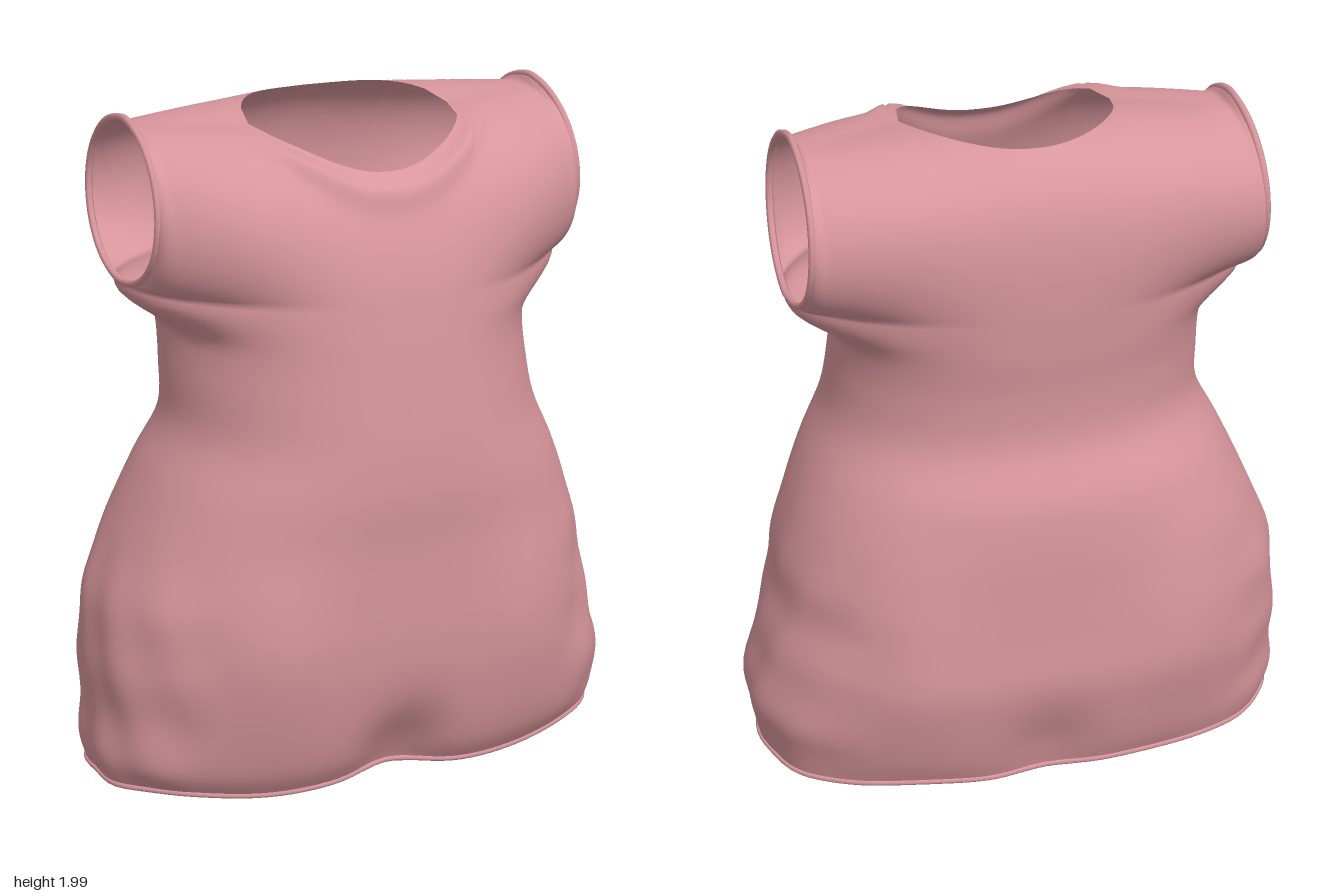
import * as THREE from 'three';
import { mergeGeometries, mergeVertices } from 'three/addons/utils/BufferGeometryUtils.js';

const COLS = 88, TORSO_ROWS = 54, YOKE_ROWS = 36;
const lerp = THREE.MathUtils.lerp, smooth = THREE.MathUtils.smoothstep;
const bell = (d, width) => Math.exp(-((d / width) ** 2));

// Torso rings from hem to armpit: y, left width, right width, front z, back z, side z
const RINGS = [
  [0.03, 0.79, 0.81, 0.385, -0.42, -0.01],
  [0.10, 0.81, 0.825, 0.43, -0.45, 0],
  [0.20, 0.82, 0.82, 0.46, -0.475, 0],
  [0.35, 0.79, 0.82, 0.485, -0.50, 0],
  [0.50, 0.745, 0.815, 0.50, -0.495, 0],
  [0.65, 0.72, 0.775, 0.505, -0.49, 0],
  [0.80, 0.68, 0.71, 0.51, -0.485, 0],
  [0.95, 0.625, 0.64, 0.52, -0.465, 0.01],
  [1.10, 0.56, 0.565, 0.515, -0.405, 0.01],
  [1.25, 0.535, 0.555, 0.50, -0.40, -0.01],
  [1.38, 0.53, 0.55, 0.485, -0.415, -0.04],
  [1.45, 0.545, 0.55, 0.475, -0.42, -0.055],
  [1.52, 0.545, 0.545, 0.465, -0.425, -0.065],
];

// Smooth interpolation between the torso rings
function ringAt(t) {
  const f = t * (RINGS.length - 1), i = Math.min(Math.floor(f), RINGS.length - 2), u = f - i;
  const at = (k) => RINGS[THREE.MathUtils.clamp(k, 0, RINGS.length - 1)];
  return RINGS[0].map((_, n) => {
    const [a, b, c, d] = [at(i - 1)[n], at(i)[n], at(i + 1)[n], at(i + 2)[n]];
    return b + 0.5 * u * (c - a + u * (2 * a - 5 * b + 4 * c - d + u * (3 * (b - c) + d - a)));
  });
}

const across = (j) => {
  const c = Math.cos((j / COLS) * Math.PI);
  return Math.sign(c) * Math.abs(c) ** 0.85;
};

function torsoPoint(j, t, side) {
  const [y, left, right, front, back, mid] = ringAt(t);
  const s = across(j);
  // boxy at the hips, rounder at the waist, fuller again at the chest
  const power = lerp(0.82, 0.98, smooth(y, 0.6, 1.2)) - 0.16 * smooth(y, 1.3, 1.52);
  const depth = j % COLS === 0 ? 0 : Math.sin((j / COLS) * Math.PI) ** power;
  // sleeve stubs spread out above the armpits
  let x = s * (s > 0 ? left : right) + 0.125 * smooth(y, 1.37, 1.5) * s ** 7;
  let z = mid + ((side > 0 ? front : back) - mid) * depth;
  // cleft between the legs, deeper in front
  z *= 1 - (side > 0 ? 0.2 : 0.1) * bell(y - 0.08, 0.16) * bell(x, 0.13);
  // soft thigh swell and cloth wrinkles toward the hips
  z += side * depth * 0.035 * bell(Math.abs(x) - 0.43, 0.18) * bell(y - 0.48, 0.3);
  const rough = (1 - smooth(y, 0.5, 0.9)) * smooth(Math.abs(s), 0.6, 0.9);
  const wrinkle = 0.007 * rough * Math.sin(y * 19 + z * 14 + s * 2) * Math.cos(z * 17 - y * 8);
  x += Math.sign(s) * wrinkle;
  z += side * wrinkle * depth;
  // uneven hem, lower behind
  const hem = 1 - smooth(y, 0, 0.15);
  const dy = hem * (0.008 * Math.sin(x * 9 + z * 5) - (side < 0 ? 0.014 * depth : 0));
  return new THREE.Vector3(x, y + dy, z);
}

// Each yoke column rises from the torso to the shoulder line, cut short by the neck hole
const HALF = 0.655, NECK = HALF * across(32), NECK_Z = 0.06;
function yokePoint(j, t, side) {
  const start = torsoPoint(j, 1, side), x = HALF * across(j), ax = Math.abs(x);
  const front = side > 0, a = ax / HALF, w = a ** 1.5, wLow = a ** 4;
  const neckDepth = front ? 0.26 : 0.34, rimZ = front ? 0.29 : -0.43;
  const endZ = lerp(NECK_Z, -0.065, smooth(ax, 0.2, HALF));
  const full = front ? 0.05 * Math.sin(Math.PI * a * a) : 0;
  const curve = new THREE.CubicBezierCurve3(
    start,
    new THREE.Vector3(lerp(start.x, x, 0.6), lerp(1.72, 1.52, wLow),
      lerp(front ? 0.43 : -0.43, rimZ, w) + full),
    new THREE.Vector3(x, lerp(front ? 1.97 : 2.12, 1.96, w),
      lerp(front ? 0.33 : -0.46, rimZ, w) + full),
    new THREE.Vector3(x, 1.96, endZ));

  // find where the column meets the neck edge
  let cut = 1;
  if (ax < NECK - 1e-6) {
    const edge = side * NECK_Z + neckDepth * Math.sqrt(1 - (x / NECK) ** 2);
    let lo = 0.2;
    for (let i = 0; i < 24; i++) {
      const m = (lo + cut) / 2;
      if (curve.getPoint(m).z * side > edge) lo = m; else cut = m;
    }
  }
  const p = curve.getPoint(t * cut);

  // soft collar ridge around the front of the neck
  const ring = Math.hypot(p.x / NECK, (p.z - NECK_Z) / neckDepth);
  const ridge = 0.016 * bell(ring - 1.17, 0.09) * smooth(t, 0, 0.4) * smooth(p.z, 0.08, 0.28);
  p.y += ridge;
  p.z += ridge;

  // flared armhole lip
  const out = smooth(ax, 0.61, HALF);
  p.y += 0.025 * out * t ** 3;
  p.z += (p.z + 0.065) * 0.04 * out * Math.sin(Math.PI * t);
  p.x -= Math.sign(x) * 0.015 * out * t;
  return p;
}

// Front or back half of the garment as one grid
function panel(side) {
  const pos = [], index = [], rows = TORSO_ROWS + YOKE_ROWS;
  for (let r = 0; r <= rows; r++) {
    for (let j = 0; j <= COLS; j++) {
      const p = r <= TORSO_ROWS ? torsoPoint(j, r / TORSO_ROWS, side)
        : yokePoint(j, (r - TORSO_ROWS) / YOKE_ROWS, side);
      pos.push(p.x, p.y, p.z);
      if (r === rows || j === COLS) continue;
      const a = r * (COLS + 1) + j, b = a + 1, c = a + COLS + 1, d = c + 1;
      if (side > 0) index.push(a, c, b, b, c, d);
      else index.push(a, b, c, b, d, c);
    }
  }
  const geo = new THREE.BufferGeometry();
  geo.setAttribute('position', new THREE.Float32BufferAttribute(pos, 3));
  geo.setIndex(index);
  return geo;
}

export function createModel() {
  const group = new THREE.Group();
  group.name = 'sleevelessGarment';
  const cloth = new THREE.MeshStandardMaterial({ color: 0xd8969c, side: THREE.DoubleSide });
  cloth.name = 'rose cloth';

  const add = (name, geo) => {
    const mesh = new THREE.Mesh(geo, cloth);
    mesh.name = name;
    group.add(mesh);
  };

  // Body: front and back joined along the sides and shoulders
  const body = mergeVertices(mergeGeometries([panel(1), panel(-1)]), 1e-4);
  body.computeVertexNormals();
  add('body', body);

  // Rolled edges round the armholes and hem
  const rolled = (points, radius) => new THREE.TubeGeometry(
    new THREE.CatmullRomCurve3(points, true), 120, radius, 6, true);
  for (const [name, j] of [['leftArmholeRim', 0], ['rightArmholeRim', COLS]]) {
    const points = [];
    for (let i = 0; i < 20; i++) points.push(yokePoint(j, i / 20, 1));
    for (let i = 20; i > 0; i--) points.push(yokePoint(j, i / 20, -1));
    add(name, rolled(points, 0.011));
  }
  const hem = [];
  for (let j = 0; j < COLS; j += 2) hem.push(torsoPoint(j, 0, 1));
  for (let j = COLS; j > 0; j -= 2) hem.push(torsoPoint(j, 0, -1));
  add('hemRim', rolled(hem, 0.009));

  return group;
}
